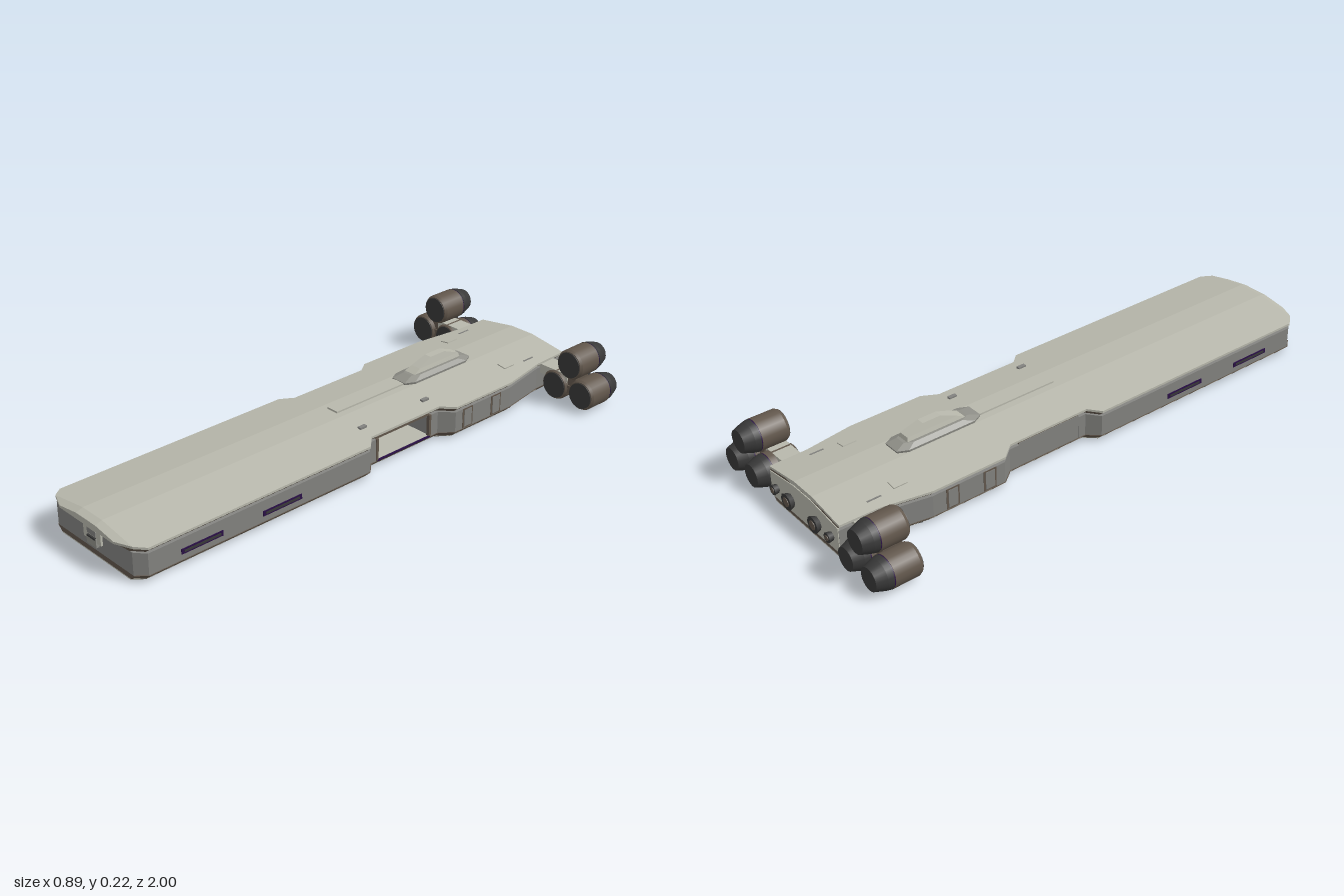
import * as THREE from 'three';

const mat = (name, color) => Object.assign(new THREE.MeshStandardMaterial({ color }), { name });
const hullMat = mat('hull light grey', 0xb8b8ac);
const wallMat = mat('wall grey', 0x82827f);
const brownMat = mat('trim brown', 0x62574c);
const darkMat = mat('engine charcoal', 0x383838);
const slotMat = mat('slot purple', 0x2a1046);
const deepMat = mat('tower base grey', 0x8f8f88);

// Plan of the hull: [z, half width], nose to stern
const plan = [[1, 0.14], [0.975, 0.2], [0.94, 0.23], [0.04, 0.23], [0, 0.192], [-0.03, 0.192], [-0.28, 0.192],
  [-0.32, 0.192], [-0.37, 0.23], [-0.65, 0.23], [-0.83, 0.2], [-0.97, 0.197]];

// Skin over rings of [x, y] points (counter-clockwise), ordered from high z to low z
function loft(rings) {
  const pos = [];
  const put = (r, i) => pos.push(r.pts[i][0], r.pts[i][1], r.z);
  const n = rings[0].pts.length;
  for (let k = 0; k + 1 < rings.length; k++) {
    const f = rings[k], b = rings[k + 1];
    for (let i = 0; i < n; i++) {
      const j = (i + 1) % n;
      put(f, i); put(b, i); put(f, j);
      put(b, i); put(b, j); put(f, j);
    }
  }
  [rings[0], rings[rings.length - 1]].forEach((r, end) => {
    const v = r.pts.map(p => new THREE.Vector2(p[0], p[1]));
    for (const t of THREE.ShapeUtils.triangulateShape(v, [])) {
      (end ? [t[2], t[1], t[0]] : t).forEach(i => put(r, i));
    }
  });
  const g = new THREE.BufferGeometry();
  g.setAttribute('position', new THREE.Float32BufferAttribute(pos, 3));
  g.computeVertexNormals();
  return g;
}

// Roof height: flat ridge with sloping shoulders
const roofY = x => 0.148 - Math.max(0, Math.abs(x) - 0.05) * 0.155;
const mirrored = half => [...half, ...half.slice().reverse().map(([x, y]) => [-x, y])];

export function createModel() {
  const model = new THREE.Group();
  model.name = 'spaceship';
  const add = (name, geo, material, x = 0, y = 0, z = 0) => {
    const m = new THREE.Mesh(geo, material);
    m.name = name;
    m.position.set(x, y, z);
    model.add(m);
    return m;
  };
  const box = (name, material, w, h, d, x, y, z) => add(name, new THREE.BoxGeometry(w, h, d), material, x, y, z);
  const hullSpan = (name, material, zMax, zMin, profile, nose = 1) => add(name, loft(
    plan.filter(([z]) => z <= zMax && z >= zMin).map(([z, w]) => ({ z: Math.min(z, nose), pts: profile(w) }))), material);

  // Hull layers
  hullSpan('bellyPlate', hullMat, 0.98, -1, w => mirrored([[w - 0.022, 0], [w - 0.018, 0.004]]));
  hullSpan('lowerTrim', brownMat, 0.98, -1, w => mirrored([[w - 0.02, 0.003], [w, 0.022]]), 0.98);
  const body = w => mirrored([[w - 0.004, 0.022], [w - 0.004, roofY(w) - 0.022], [0.05, 0.122]]);
  hullSpan('frontBody', wallMat, 0.98, -0.03, body);
  hullSpan('rearBody', wallMat, -0.28, -1, body);
  hullSpan('upperTrim', brownMat, 1, -1,
    w => mirrored([[w - 0.016, roofY(w) - 0.022], [w - 0.002, roofY(w) - 0.008], [0.05, 0.14]]), 0.99);
  const roof = drop => w => mirrored([[w, roofY(w) - 0.008 - drop], [w, roofY(w) - drop], [0.05, 0.148 - drop]]);
  hullSpan('roof', hullMat, 0.98, -1, roof(0));
  add('roofNose', loft([{ z: 1, pts: roof(0.009)(0.14) }, { z: 0.975, pts: roof(0)(0.2) }]), hullMat);

  // Side bay, open to the left
  box('bayFloor', hullMat, 0.37, 0.006, 0.25, 0, 0.024, -0.155);
  box('bayFarWall', wallMat, 0.03, 0.088, 0.25, -0.172, 0.066, -0.155);
  box('bayCeiling', brownMat, 0.37, 0.008, 0.25, 0, 0.108, -0.155);
  box('bayInnerDoor', brownMat, 0.006, 0.03, 0.11, -0.155, 0.04, -0.155);
  for (const z of [-0.03, -0.28]) box('bayFrame', brownMat, 0.012, 0.084, 0.01, 0.185, 0.064, z);
  box('baySill', slotMat, 0.006, 0.005, 0.25, 0.189, 0.024, -0.155);

  // Nose dock
  box('dockPlate', hullMat, 0.09, 0.05, 0.008, 0, 0.08, 0.978);
  box('dockHead', hullMat, 0.056, 0.02, 0.012, 0, 0.108, 0.98);
  box('dockRecess', wallMat, 0.044, 0.02, 0.006, 0, 0.088, 0.982);
  box('dockFoot', deepMat, 0.05, 0.03, 0.012, 0, 0.056, 0.98);
  box('dockSlot', darkMat, 0.042, 0.006, 0.006, 0, 0.07, 0.985);

  // Command tower and ridge
  const upright = rings => loft(rings).rotateX(-Math.PI / 2);
  const octagon = (w, z0, z1, c) => [[w, -z1 + c], [w, -z0 - c], [w - c / 2, -z0], [-w + c / 2, -z0],
    [-w, -z0 - c], [-w, -z1 + c], [-w + c / 2, -z1], [w - c / 2, -z1]];
  add('towerBase', upright([
    { z: 0.168, pts: octagon(0.034, -0.61, -0.36, 0.03) },
    { z: 0.156, pts: octagon(0.048, -0.645, -0.315, 0.035) },
    { z: 0.14, pts: octagon(0.046, -0.64, -0.32, 0.035) }]), deepMat);
  const rect = (w, z0, z1) => [[-w, -z1], [w, -z1], [w, -z0], [-w, -z0]];
  add('tower', upright([
    { z: 0.206, pts: rect(0.014, -0.53, -0.46) },
    { z: 0.182, pts: rect(0.02, -0.595, -0.4) },
    { z: 0.165, pts: rect(0.025, -0.6, -0.365) }]), hullMat);
  box('ridge', hullMat, 0.048, 0.012, 0.32, 0, 0.148, -0.16);
  for (const z of [-0.305, -0.01]) box('roofVent', wallMat, 0.014, 0.01, 0.03, 0.137, 0.136, z);

  for (const s of [1, -1]) {
    // Roof hatches
    box('roofHatch', hullMat, 0.036, 0.01, 0.05, s * 0.14, 0.133, -0.72).rotation.z = -s * 0.154;
    box('roofSlit', wallMat, 0.005, 0.008, 0.05, s * 0.16, 0.129, -0.82);

    // Side slots and doors
    for (const z of [0.74, 0.42]) {
      box('sideSlot', slotMat, 0.008, 0.018, 0.16, s * 0.225, 0.052, z);
      box('slotCore', darkMat, 0.009, 0.008, 0.14, s * 0.226, 0.052, z);
    }
    for (const z of [-0.43, -0.575]) {
      box('sideDoorFrame', brownMat, 0.006, 0.074, 0.05, s * 0.2245, 0.061, z);
      box('sideDoor', wallMat, 0.006, 0.064, 0.036, s * 0.2265, 0.061, z);
    }

    // Landing pads
    for (const z of [0.91, -0.68]) {
      add('landingPad', new THREE.CylinderGeometry(0.04, 0.04, 0.004, 8), darkMat, s * 0.165, 0.001, z);
    }

    // Stern thrusters
    for (const [x, r] of [[0.075, 0.03], [0.155, 0.018]]) {
      add('thruster', new THREE.CylinderGeometry(r, r * 0.75, 0.022, 8).rotateX(-Math.PI / 2), darkMat, s * x, 0.065, -0.98);
      add('thrusterCore', new THREE.CylinderGeometry(r * 0.55, r * 0.55, 0.004, 8).rotateX(Math.PI / 2), brownMat, s * x, 0.065, -0.991);
    }

    // Engine pylons
    box('pylon', hullMat, 0.14, 0.035, 0.07, s * 0.25, 0.098, -0.885);
    box('pylonCore', brownMat, 0.05, 0.09, 0.07, s * 0.33, 0.09, -0.89);
    box('engineLink', brownMat, 0.06, 0.03, 0.08, s * 0.33, 0.06, -0.89);

    // Engine cluster
    for (const [x, y] of [[0.33, 0.16], [0.27, 0.06], [0.39, 0.06]]) {
      const engine = new THREE.Group();
      engine.name = 'engine';
      engine.position.set(s * x, y, 0);
      const drum = (name, material, rFront, rBack, zFront, zBack) => {
        const m = new THREE.Mesh(
          new THREE.CylinderGeometry(rFront, rBack, zFront - zBack, 24).rotateX(Math.PI / 2), material);
        m.name = name;
        m.position.z = (zFront + zBack) / 2;
        engine.add(m);
      };
      drum('engineLip', brownMat, 0.051, 0.056, -0.842, -0.852);
      drum('engineDrum', brownMat, 0.056, 0.056, -0.852, -0.942);
      drum('engineFace', darkMat, 0.048, 0.048, -0.839, -0.845);
      drum('engineRing', slotMat, 0.0545, 0.0545, -0.941, -0.947);
      drum('engineShroud', darkMat, 0.056, 0.052, -0.946, -0.965);
      drum('engineNozzle', darkMat, 0.052, 0.04, -0.965, -1);
      model.add(engine);
    }
  }

  // Stern panel and belly hatch
  add('sternPanel', loft([-0.967, -0.973].map(z => ({
    z, pts: mirrored([[0.192, 0.02], [0.192, 0.112], [0.05, 0.132]]) }))), hullMat);
  box('bellyHatch', hullMat, 0.1, 0.004, 0.11, -0.12, 0.001, -0.15);
  return model;
}
